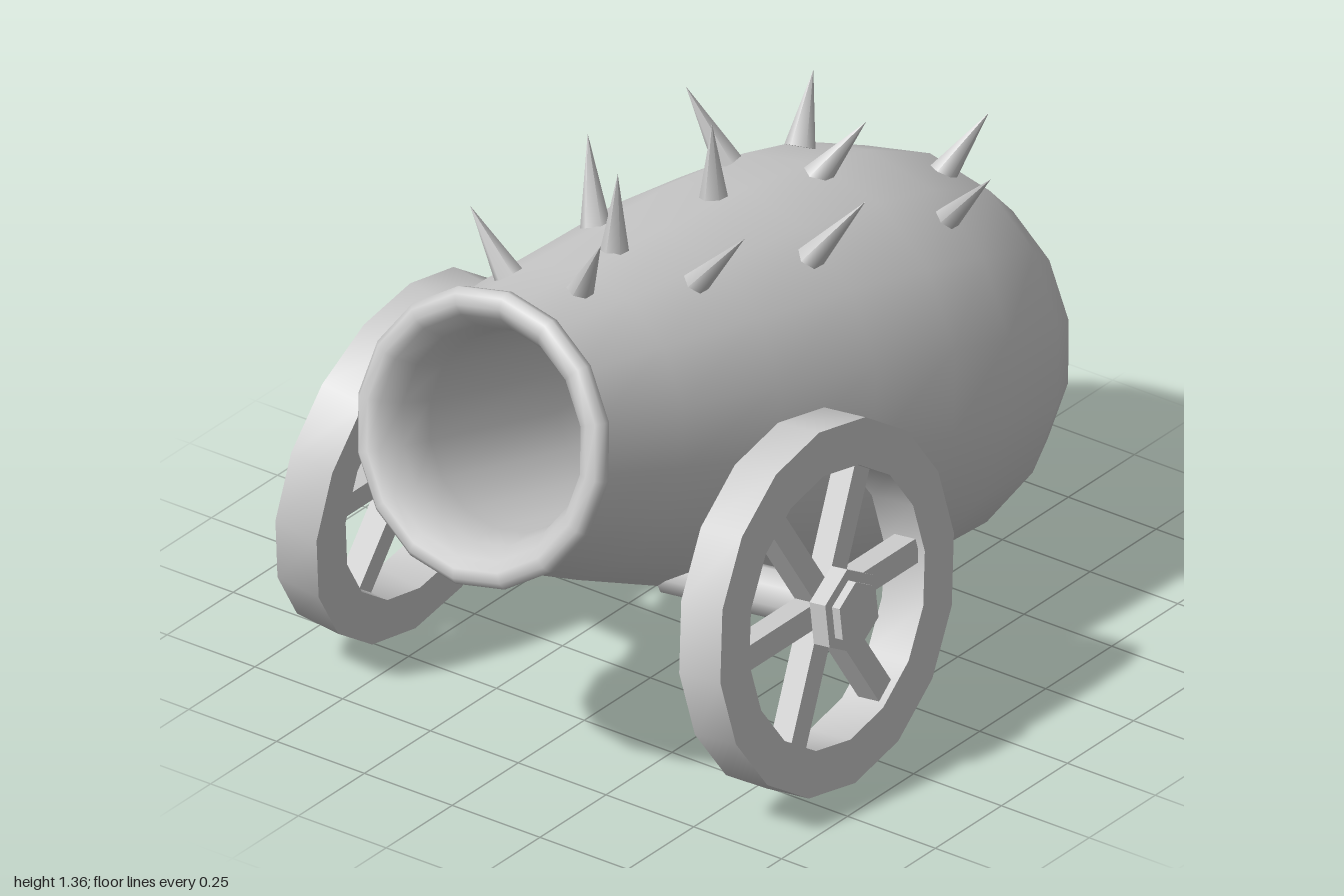
import * as THREE from 'three';
import { toCreasedNormals } from 'three/addons/utils/BufferGeometryUtils.js';

const grey = new THREE.MeshStandardMaterial({ color: 0xcccccc });
const greyFlat = new THREE.MeshStandardMaterial({ color: 0xcccccc, flatShading: true });

function addMesh(parent, name, geometry, material = grey) {
  const mesh = new THREE.Mesh(geometry, material);
  mesh.name = name;
  parent.add(mesh);
  return mesh;
}

// Barrel profile: [distance behind the muzzle, radius]
function createBarrel() {
  const profile = [
    // rounded back and tapering outside
    [1.94, 0], [1.935, 0.1], [1.9, 0.23], [1.795, 0.37], [1.63, 0.46], [1.375, 0.503],
    [1.16, 0.503], [0.89, 0.475], [0.59, 0.42], [0.28, 0.365], [0.03, 0.31],
    // rolled lip
    [0.03, 0.33], [0.015, 0.348], [-0.005, 0.35], [-0.022, 0.335], [-0.025, 0.31], [-0.01, 0.285],
    // bore
    [0.04, 0.255], [0.12, 0.235], [0.6, 0.225], [0.98, 0.21], [1.07, 0.15], [1.1, 0],
  ].map(([s, r]) => new THREE.Vector2(r, -s));
  const barrel = new THREE.Group();
  barrel.name = 'barrel';
  barrel.position.set(0, 0.91, 0.885);
  barrel.rotation.x = 1.29;
  addMesh(barrel, 'barrelShell', new THREE.LatheGeometry(profile, 16));
  return barrel;
}

function polygonPoints(radius, sides) {
  return Array.from({ length: sides }, (_, i) => {
    const a = Math.PI / 2 + (i / sides) * Math.PI * 2;
    return new THREE.Vector2(radius * Math.cos(a), radius * Math.sin(a));
  });
}

// Cylinder along z between two depths
function rod(radius, from, to, sides) {
  return new THREE.CylinderGeometry(radius, radius, to - from, sides)
    .rotateX(Math.PI / 2).translate(0, 0, (from + to) / 2);
}

// Wheel whose outer face looks along its local +z
function createWheel() {
  const wheel = new THREE.Group();
  const width = 0.118;
  const shape = new THREE.Shape(polygonPoints(0.442, 16));
  shape.holes.push(new THREE.Path(polygonPoints(0.332, 16)));
  const rim = new THREE.ExtrudeGeometry(shape, { depth: width, bevelEnabled: false });
  rim.translate(0, 0, -width / 2);
  addMesh(wheel, 'wheelRim', toCreasedNormals(rim, 0.6));

  for (let i = 0; i < 6; i++) {
    const spoke = addMesh(wheel, 'spoke', new THREE.BoxGeometry(0.34, 0.06, 0.06).translate(0.17, 0, 0.01));
    spoke.rotation.z = (i * Math.PI) / 3;
  }
  addMesh(wheel, 'hub', rod(0.105, 0.055, 0.1, 6), greyFlat);
  addMesh(wheel, 'hubCap', rod(0.078, 0.1, 0.122, 6), greyFlat);
  addMesh(wheel, 'axle', rod(0.06, -0.42, 0.06, 8));
  return wheel;
}

// Spikes along the back: base x, y, z, then tip x, y, z
const SPIKES = [
  [0.09, 0.91, -0.74, 0.155, 1.05, -0.825],
  [-0.12, 1.04, -0.48, -0.145, 1.18, -0.56],
  [0.25, 0.93, -0.53, 0.39, 1.09, -0.52],
  [0.04, 1.07, -0.34, 0.11, 1.19, -0.42],
  [-0.18, 1.07, -0.27, -0.275, 1.23, -0.25],
  [0.24, 1.05, -0.04, 0.345, 1.2, -0.105],
  [-0.03, 1.12, -0.03, -0.035, 1.31, -0.03],
  [-0.18, 1.12, 0.22, -0.25, 1.295, 0.155],
  [0.17, 1.11, 0.31, 0.295, 1.26, 0.285],
  [-0.015, 1.16, 0.365, -0.01, 1.36, 0.36],
  [-0.16, 1.16, 0.585, -0.265, 1.29, 0.58],
  [0.05, 1.17, 0.585, 0.13, 1.33, 0.61],
];

function createSpikes() {
  const spikes = new THREE.Group();
  spikes.name = 'spikes';
  const up = new THREE.Vector3(0, 1, 0);
  for (const [bx, by, bz, tx, ty, tz] of SPIKES) {
    const base = new THREE.Vector3(bx, by, bz);
    const dir = new THREE.Vector3(tx, ty, tz).sub(base);
    const length = dir.length();
    const sunk = 0.015;
    const cone = new THREE.ConeGeometry(0.036, length + sunk, 6).translate(0, (length - sunk) / 2, 0);
    const spike = addMesh(spikes, 'spike', cone);
    spike.position.copy(base);
    spike.quaternion.setFromUnitVectors(up, dir.normalize());
  }
  return spikes;
}

export function createModel() {
  const model = new THREE.Group();
  model.name = 'spikedCannon';
  model.add(createBarrel(), createSpikes());

  // Wheels lean inwards at the top
  for (const side of [1, -1]) {
    const mount = new THREE.Group();
    mount.name = side > 0 ? 'leftWheel' : 'rightWheel';
    mount.position.set(side * 0.575, 0.45, 0.385);
    mount.rotation.z = side * 0.115;
    const wheel = createWheel();
    wheel.name = 'wheel';
    wheel.rotation.y = (side * Math.PI) / 2;
    mount.add(wheel);
    model.add(mount);
  }
  return model;
}
